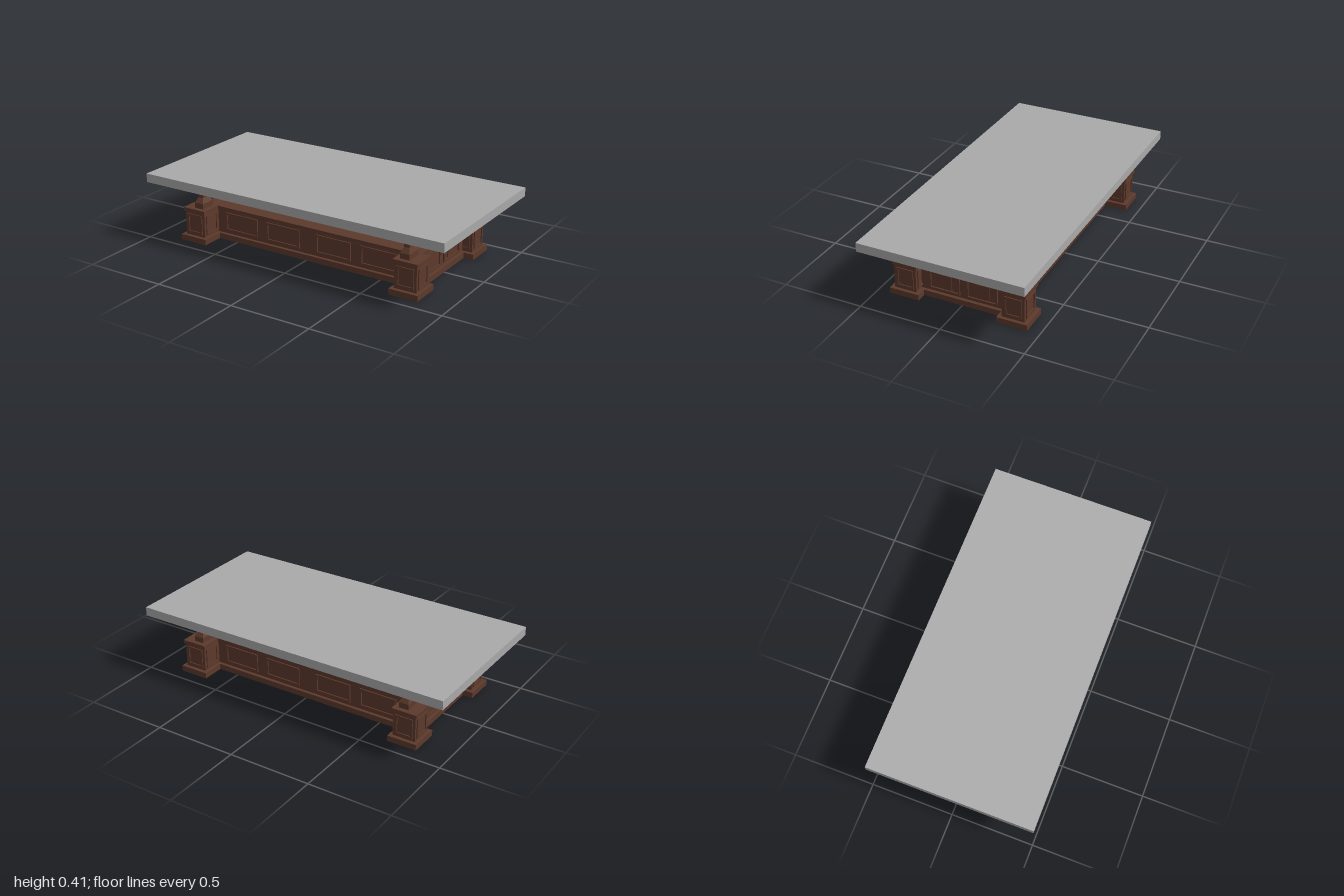
import * as THREE from 'three';

const wood = new THREE.MeshStandardMaterial({ color: 0x5c3a2b });
wood.name = 'dark wood';
const stone = new THREE.MeshStandardMaterial({ color: 0xaaaaaa });
stone.name = 'grey stone';

// Box given by its centre in x and z, its size, and its bottom and top heights
function slab(name, w, d, y0, y1, x = 0, z = 0, material = wood) {
  const mesh = new THREE.Mesh(new THREE.BoxGeometry(w, y1 - y0, d), material);
  mesh.name = name;
  mesh.position.set(x, (y0 + y1) / 2, z);
  return mesh;
}

function rectangle(target, w, h) {
  target.moveTo(-w / 2, -h / 2);
  target.lineTo(w / 2, -h / 2);
  target.lineTo(w / 2, h / 2);
  target.lineTo(-w / 2, h / 2);
  target.closePath();
  return target;
}

// Raised frame facing +z, with an optional raised centre field
function panel(w, h, rim, fieldW = 0, fieldH = 0) {
  const group = new THREE.Group();
  group.name = 'panel';
  const shape = rectangle(new THREE.Shape(), w, h);
  shape.holes.push(rectangle(new THREE.Path(), w - 2 * rim, h - 2 * rim));
  const frame = new THREE.Mesh(
    new THREE.ExtrudeGeometry(shape, { depth: 0.008, bevelEnabled: false }), wood);
  frame.name = 'panelFrame';
  group.add(frame);
  if (fieldW) {
    const field = new THREE.Mesh(new THREE.BoxGeometry(fieldW, fieldH, 0.012), wood);
    field.name = 'panelField';
    group.add(field);
  }
  return group;
}

function place(parent, child, x, y, z, turn = 0) {
  child.position.set(x, y, z);
  child.rotation.y = turn;
  parent.add(child);
}

// Four-sided post that flares at foot and head, flatter in x than in z
function post() {
  const profile = [[0, 0.2], [0.049, 0.2], [0.049, 0.24], [0.028, 0.27],
    [0.028, 0.33], [0.05, 0.35], [0.05, 0.356], [0, 0.356]]
    .map(([r, y]) => new THREE.Vector2(r * Math.SQRT2, y));
  let geometry = new THREE.LatheGeometry(profile, 4);
  geometry.rotateY(Math.PI / 4);
  geometry.scale(0.61, 1, 1);
  geometry = geometry.toNonIndexed();
  geometry.computeVertexNormals();
  const mesh = new THREE.Mesh(geometry, wood);
  mesh.name = 'post';
  return mesh;
}

export function createModel() {
  const model = new THREE.Group();
  model.name = 'table';
  model.add(slab('tableTop', 2, 1, 0.354, 0.408, 0, 0, stone));

  // Long recessed body between the corners
  const body = new THREE.Group();
  body.name = 'body';
  body.add(slab('bodyPlinth', 1.5, 0.57, 0, 0.035));
  body.add(slab('bodyCore', 1.46, 0.53, 0.03, 0.19));
  body.add(slab('bodyCap', 1.49, 0.56, 0.185, 0.206));
  body.add(slab('bodyMoulding', 1.475, 0.47, 0.175, 0.181));
  body.add(slab('bodyMoulding', 1.2, 0.545, 0.175, 0.181));
  for (const side of [1, -1]) {
    const faceTurn = side > 0 ? 0 : Math.PI;
    for (const x of [-0.475, -0.175, 0.175, 0.475]) {
      place(body, panel(0.235, 0.115, 0.012), x, 0.112, side * 0.265, faceTurn);
    }
    for (const z of [-0.116, 0.116]) {
      place(body, panel(0.19, 0.12, 0.01, 0.09, 0.09),
        side * 0.73, 0.11, z, side * Math.PI / 2);
    }
  }
  model.add(body);

  // Panelled corner pedestals, each carrying a post
  for (const sx of [1, -1]) {
    for (const sz of [1, -1]) {
      const corner = new THREE.Group();
      corner.name = 'cornerPedestal';
      const x = sx * 0.722, z = sz * 0.333;
      corner.add(slab('pedestalPlinth', 0.18, 0.184, 0, 0.035, x, z));
      corner.add(slab('pedestalBlock', 0.14, 0.137, 0.03, 0.19, x, z));
      corner.add(slab('pedestalCap', 0.156, 0.154, 0.185, 0.207, x, z));
      for (const s of [1, -1]) {
        place(corner, panel(0.108, 0.12, 0.012), x, 0.111, z + s * 0.067,
          s > 0 ? 0 : Math.PI);
        place(corner, panel(0.105, 0.12, 0.012), x + s * 0.068, 0.111, z,
          s * Math.PI / 2);
      }
      place(corner, post(), sx * 0.705, 0, z);
      model.add(corner);
    }
  }
  return model;
}
